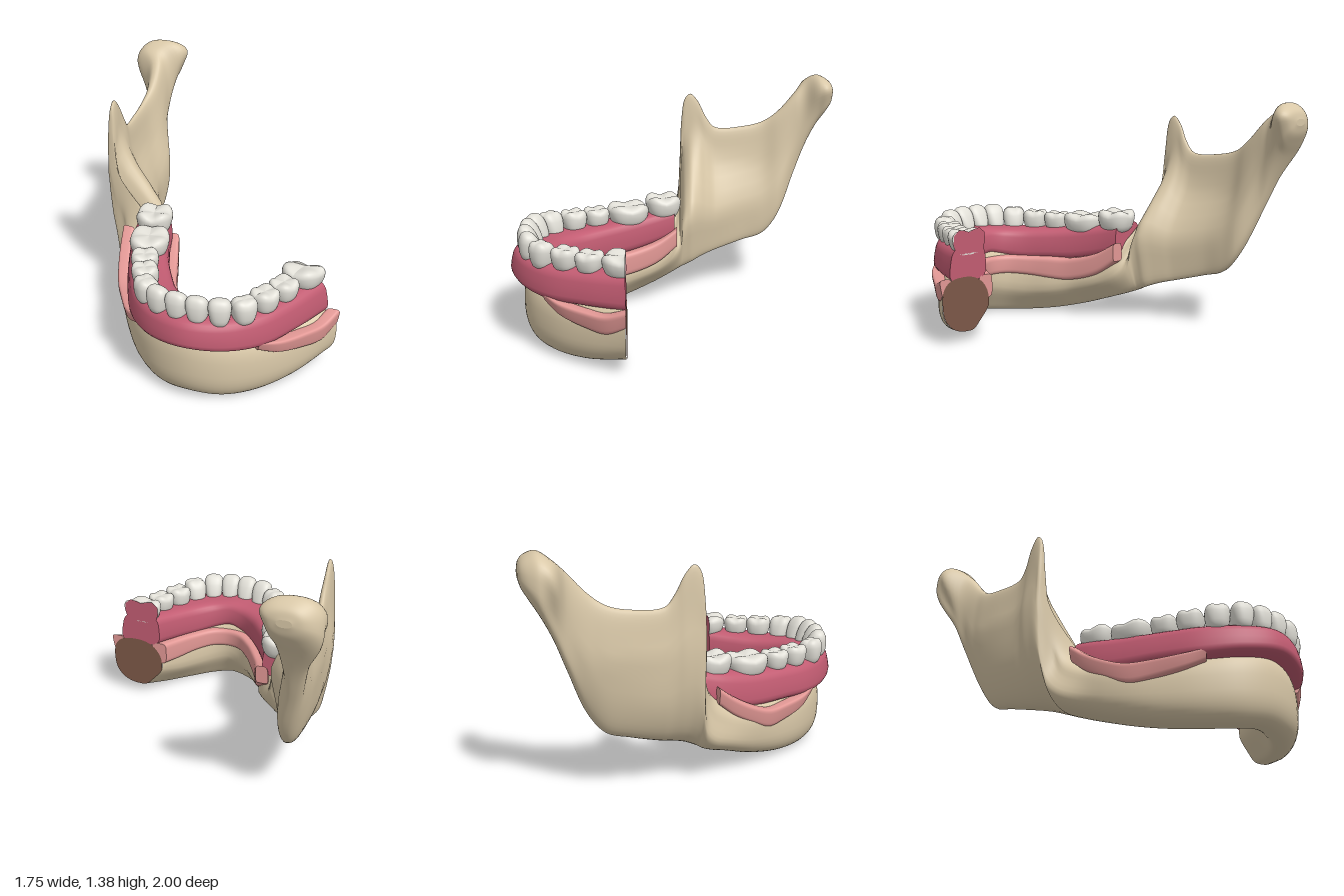
import * as THREE from 'three';
import { mergeGeometries } from 'three/addons/utils/BufferGeometryUtils.js';

const MID = 0.19;   // x of the jaw's midline
const CUT = 0.325;  // z of the flat cut on the left side
const { lerp, smoothstep, degToRad } = THREE.MathUtils;

const mat = (name, color) => Object.assign(new THREE.MeshStandardMaterial({ color }), { name });
const bone = mat('bone', 0xd9c8a8);
const marrow = mat('cut bone', 0x7d5848);
const gum = mat('gum', 0xc25c72);
const lining = mat('gum lining', 0xe29895);
const enamel = mat('enamel', 0xe2e0d8);

const spow = (v, e) => Math.sign(v) * Math.abs(v) ** e;

// Point at offset `off` outward from an arch point; side 1 = right, -1 = left
function place(X, z, a, off, y, side) {
  return new THREE.Vector3(MID - side * (X + Math.sin(a) * off), y, z + Math.cos(a) * off);
}

// Closed ring; shape(c, v) gives the outward offset for c in -1..1 at height v in 0..1
function ring(X, z, deg, yb, yt, side, shape, n, e) {
  return Array.from({ length: n }, (_, j) => {
    const t = (j / n) * Math.PI * 2;
    const v = 0.5 + 0.5 * spow(Math.sin(t), e);
    const y = lerp(yb, yt, v);
    return place(X, z, degToRad(deg), shape(spow(Math.cos(t), e), v, y), y, side);
  });
}

function cap(points, start) {
  const c = points.reduce((s, p) => s.add(p), new THREE.Vector3()).divideScalar(points.length);
  const n = points.length, index = [];
  for (let j = 0; j < n; j++) index.push(n, ...(start ? [(j + 1) % n, j] : [j, (j + 1) % n]));
  const g = new THREE.BufferGeometry().setFromPoints([...points, c]);
  g.setIndex(index);
  g.computeVertexNormals();
  return g;
}

// Smooth skin through a row of rings, with flat ends
function loft(rings, sub, capStart = true) {
  const n = rings[0].length, rows = (rings.length - 1) * sub, points = [], index = [];
  const curves = rings[0].map((_, j) => new THREE.CatmullRomCurve3(rings.map(r => r[j])));
  for (let i = 0; i <= rows; i++) for (const c of curves) points.push(c.getPoint(i / rows));
  for (let i = 0; i < rows; i++) for (let j = 0; j < n; j++) {
    const a = i * n + j, b = i * n + (j + 1) % n;
    index.push(a, b, a + n, b, b + n, a + n);
  }
  const g = new THREE.BufferGeometry().setFromPoints(points);
  g.setIndex(index);
  g.computeVertexNormals();
  const parts = [g, cap(rings[rings.length - 1], false)];
  if (capStart) parts.push(cap(rings[0], true));
  return mergeGeometries(parts);
}

// Rows: [X, z, outward degrees, half width, bottom, top]
const band = (rows, side, topScale, lean, e) => rows.map(([X, z, deg, w, yb, yt]) =>
  ring(X, z, deg, yb, yt, side, (c, v) => w * c * lerp(1, topScale, v) + lean * (v - 0.5), 28, e));

// Whole arch: left rows up to the cut, then the midline and the right side
function arch(rows, cutRow, ...shape) {
  const left = band(rows.slice(1, cutRow + 1), -1, ...shape).reverse();
  return [...left, ...band(rows, 1, ...shape)];
}

const bodyRows = [
  [0, 0.80, 0, 0.132, 0.018, 0.45], [0.14, 0.765, 25, 0.132, 0.004, 0.43],
  [0.27, 0.66, 50, 0.137, 0, 0.40], [0.39, 0.50, 72, 0.152, 0.018, 0.385],
];
// Rows: [z, bottom, top, low shift, low thickness, top shift, top thickness]
const ramusRows = [
  [CUT, 0.06, 0.385, -0.143, 0.34, -0.155, 0.34], [0.16, 0.115, 0.42, -0.075, 0.36, -0.11, 0.33],
  [0.06, 0.15, 0.49, -0.02, 0.37, -0.08, 0.32], [0.01, 0.17, 0.63, 0.005, 0.38, -0.08, 0.2],
  [-0.01, 0.18, 0.84, 0.008, 0.385, -0.04, 0.09], [-0.022, 0.185, 1.1, 0.01, 0.39, -0.03, 0.06],
  [-0.045, 0.195, 1.24, 0.01, 0.39, -0.03, 0.06], [-0.08, 0.21, 1.27, 0.01, 0.385, -0.03, 0.06],
  [-0.13, 0.23, 1.22, 0.015, 0.345, -0.03, 0.06], [-0.18, 0.245, 1.12, 0.015, 0.295, -0.03, 0.07],
  [-0.24, 0.26, 1.05, 0.02, 0.25, -0.025, 0.07], [-0.42, 0.31, 1.05, 0.025, 0.18, 0, 0.08],
  [-0.55, 0.35, 1.08, 0.025, 0.165, 0.01, 0.09], [-0.65, 0.47, 1.15, 0.015, 0.16, 0.01, 0.11],
  [-0.76, 0.74, 1.27, 0.02, 0.13, 0.04, 0.14], [-0.83, 0.92, 1.34, 0.065, 0.18, 0.15, 0.26],
  [-0.9, 1.06, 1.38, 0.135, 0.27, 0.135, 0.32], [-0.95, 1.14, 1.365, 0.11, 0.26, 0.095, 0.29],
  [-0.985, 1.2, 1.335, 0.06, 0.19, 0.05, 0.21], [-1, 1.25, 1.29, 0, 0.08, 0, 0.08],
];
// Outer face of the upright branch flares with height
const flare = y => y < 0.4 ? 0.78 + 0.19 * y : 0.856 + 0.185 * (Math.min(y, 0.8) - 0.4);
// The inner face tucks in towards the lower border
const tuck = v => lerp(0.5, 1, smoothstep(v, 0, 0.45));

function jawRings() {
  const body = side => bodyRows.map(([X, z, deg, w, yb, yt]) =>
    ring(X, z, deg, yb, yt, side, (c, v) => w * c * lerp(1.01, 0.97, v) * (c < 0 ? tuck(v) : 1), 44, 0.8));
  const branch = (side, rows) => rows.map(([z, yb, yt, sl, tl, st, tt]) =>
    ring(0, z, 90, yb, yt, side, (c, v, y) => {
      const k = smoothstep(v, 0.25, lerp(0.72, 0.88, smoothstep(-z, 0, 0.15)));
      const t = lerp(tl, tt, k), low = lerp(tuck(v), 1, smoothstep(-z, 0.3, 0.8));
      return flare(y) + lerp(sl, st, k) - t / 2 + (t / 2) * c * (c < 0 ? low : 1);
    }, 44, 0.8));
  return [...branch(-1, ramusRows.slice(0, 1)), ...body(-1).slice(1).reverse(),
    ...body(1), ...branch(1, ramusRows)];
}

const gumRows = [
  [0, 0.848, 0, 0.162, 0.385, 0.56], [0.15, 0.803, 25, 0.153, 0.365, 0.55],
  [0.28, 0.69, 50, 0.147, 0.345, 0.545], [0.385, 0.52, 70, 0.14, 0.35, 0.55],
  [0.48, CUT, 90, 0.143, 0.355, 0.565], [0.54, 0.16, 90, 0.134, 0.39, 0.59],
  [0.565, 0.035, 90, 0.122, 0.43, 0.615],
];
const innerRows = [
  [0, 0.71, 0, 0.055, 0.265, 0.38], [0.108, 0.678, 25, 0.055, 0.265, 0.38],
  [0.216, 0.571, 55, 0.055, 0.255, 0.375], [0.294, 0.445, 75, 0.055, 0.24, 0.375],
  [0.355, CUT, 90, 0.055, 0.235, 0.375], [0.42, 0.15, 90, 0.055, 0.285, 0.42],
  [0.455, 0.02, 90, 0.042, 0.38, 0.495],
];
const outerRows = [
  [0.345, 0.765, 45, 0.03, 0.33, 0.39], [0.424, 0.671, 56, 0.048, 0.28, 0.365],
  [0.515, 0.537, 70, 0.05, 0.245, 0.35], [0.585, 0.43, 80, 0.05, 0.235, 0.35],
  [0.637, CUT, 90, 0.05, 0.285, 0.39], [0.68, 0.2, 90, 0.05, 0.355, 0.46],
  [0.705, 0.1, 90, 0.048, 0.435, 0.535],
];

// [name, X, z, outward degrees, width, depth, bottom, top, edge thinning, cusp height]
const teeth = [
  ['centralIncisor', 0.056, 0.875, 4, 0.126, 0.185, 0.515, 0.685, 0.6, 0],
  ['lateralIncisor', 0.168, 0.852, 18, 0.128, 0.185, 0.51, 0.68, 0.55, 0],
  ['canine', 0.27, 0.78, 42, 0.142, 0.185, 0.50, 0.665, 0.4, 0.008],
  ['firstPremolar', 0.347, 0.655, 58, 0.155, 0.165, 0.51, 0.655, 0.1, 0.015],
  ['secondPremolar', 0.412, 0.52, 66, 0.155, 0.165, 0.515, 0.65, 0.05, 0.015],
  ['firstMolar', 0.47, 0.325, 74, 0.255, 0.24, 0.51, 0.66, 0.05, 0.02],
  ['secondMolar', 0.535, 0.105, 78, 0.22, 0.225, 0.54, 0.695, 0.05, 0.024],
];

function toothGeometry([, X, z, deg, w, d, yb, yt, thin, cusp], side) {
  const g = new THREE.SphereGeometry(1, 32, 24);
  const p = g.attributes.position;
  for (let i = 0; i < p.count; i++) {
    const x = p.getX(i), y = spow(p.getY(i), 0.55), q = p.getZ(i);
    const r = Math.hypot(x, q), phi = Math.atan2(q, x), t = (y + 1) / 2;
    const fat = r ** 0.7 * lerp(0.8, 1, smoothstep(t, 0, 0.7));
    // Raised cusps around a sunken middle
    const bump = y > 0 ? cusp * y * (r * (1.6 * Math.abs(Math.sin(2 * phi)) - 0.6) - 1.2 * (1 - r)) : 0;
    p.setXYZ(i, spow(Math.cos(phi), 0.8) * fat * w / 2, lerp(yb, yt, t) + bump,
      spow(Math.sin(phi), 0.8) * fat * (1 - thin * t) * d / 2 + thin * 0.06 * t);
  }
  g.rotateY(-side * degToRad(deg)).translate(MID - side * X, 0, z);
  if (side < 0) for (let i = 0; i < p.count; i++) p.setZ(i, Math.max(p.getZ(i), CUT));
  g.computeVertexNormals();
  return g;
}

export function createModel() {
  const model = new THREE.Group();
  const add = (name, geometry, material) => {
    const m = new THREE.Mesh(geometry, material);
    m.name = name;
    model.add(m);
  };

  // Jaw bone with its cut face
  const jaw = jawRings();
  add('jawBone', loft(jaw, 5, false), bone);
  add('cutBoneFace', cap(jaw[0], true).translate(0, 0, -0.003), marrow);

  // Gum ridge and the paler lining around its foot
  add('gumRidge', loft(arch(gumRows, 4, 0.83, -0.01, 0.55), 6), gum);
  add('innerLining', loft(arch(innerRows, 4, 0.9, -0.005, 0.45), 6), lining);
  add('rightOuterLining', loft(band(outerRows, 1, 0.8, 0.03, 0.45), 6), lining);
  add('leftOuterLining', loft(band(outerRows.slice(0, 5), -1, 0.8, 0.03, 0.45).reverse(), 6), lining);

  // Teeth; the left row ends at the cut molar
  for (const side of [1, -1]) {
    for (const t of side > 0 ? teeth : teeth.slice(0, 6)) {
      add((side > 0 ? 'right ' : 'left ') + t[0], toothGeometry(t, side), enamel);
    }
  }

  // Cut face of the left molar
  const half = [[0.095, 0.52], [0.116, 0.58], [0.112, 0.63], [0.075, 0.662], [0.035, 0.655]];
  const outline = [...half, [0, 0.642], ...half.map(([x, y]) => [-x, y]).reverse()];
  const face = new THREE.ShapeGeometry(new THREE.Shape(outline.map(([x, y]) => new THREE.Vector2(x, y))));
  face.rotateY(Math.PI).translate(MID + 0.47, 0, CUT - 0.002);
  add('cutMolarFace', face, gum);

  return model;
}
